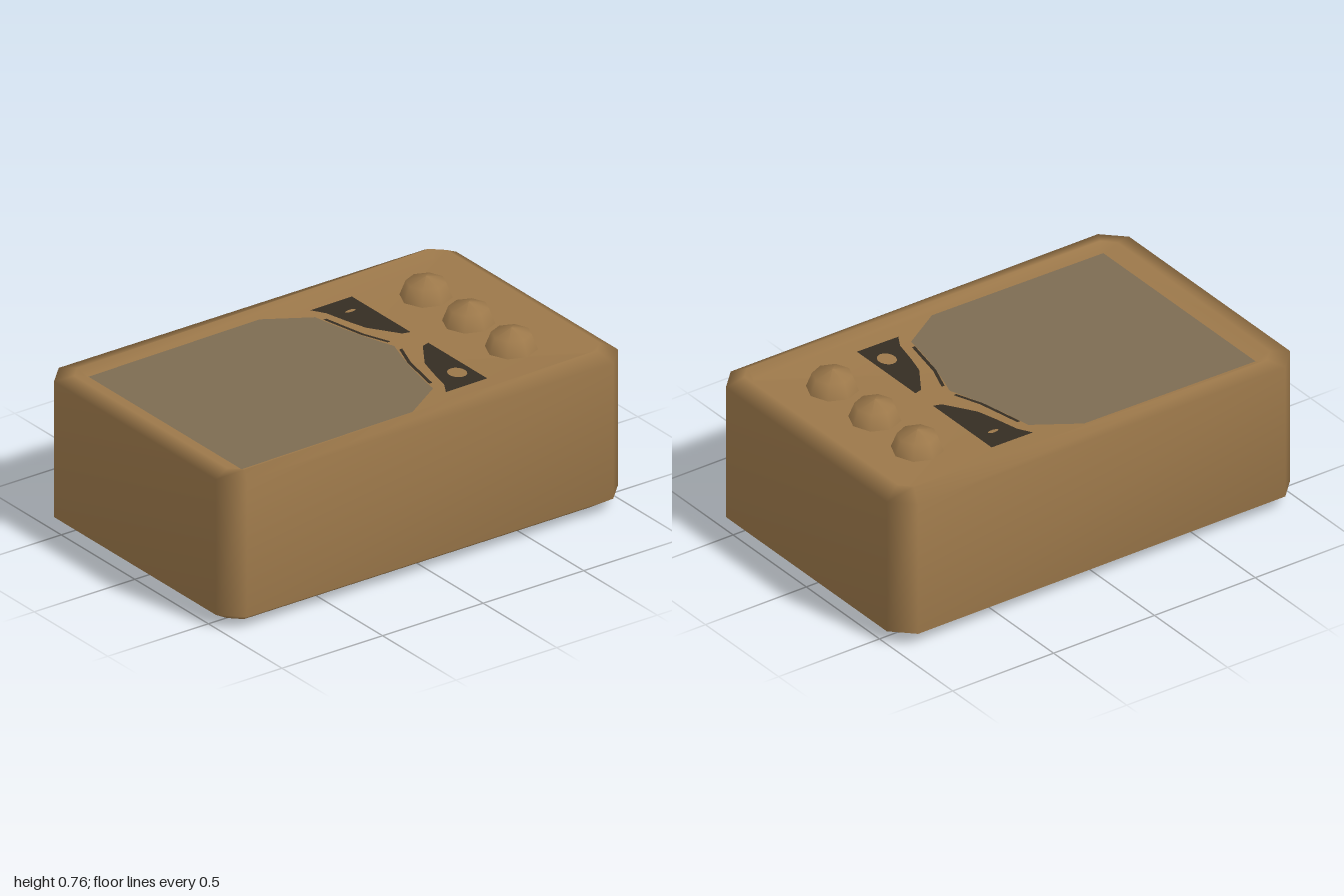
import * as THREE from 'three';

const mat = (name, color, side = THREE.FrontSide) => {
  const m = new THREE.MeshStandardMaterial({ color, side });
  m.name = name;
  return m;
};

// Height of the sloping recessed panel and of the rim around it
const panelY = z => 0.662 - 0.011 * z;
const rimY = z => 0.6925 - 0.0135 * z;

// Rectangle with cut corners, counterclockwise seen from above
function ring(w, d, c, y, zc = 0) {
  const pts = [[w, c - d], [w, d - c], [w - c, d], [c - w, d], [-w, d - c], [-w, c - d], [c - w, -d], [w - c, -d]];
  return pts.map(([x, s]) => [x, y(zc - s), zc - s]);
}

// Smooth chamfered box: rings joined from the underside up to the panel
function caseGeometry() {
  const rings = [
    ring(0.55, 0.91, 0.05, () => 0),
    ring(0.64, 1, 0.09, () => 0.06),
    ring(0.64, 1, 0.09, () => 0.665),
    ring(0.57, 0.925, 0.05, rimY, -0.005),
    ring(0.53, 0.875, 0.015, panelY, -0.015),
  ];
  const pos = [[0, 0, 0], ...rings.flat(), [0, panelY(0), 0]];
  const top = pos.length - 1;
  const index = [];
  for (let i = 0; i < 8; i++) index.push(0, 1 + (i + 1) % 8, 1 + i);
  for (let r = 0; r < rings.length - 1; r++) {
    for (let i = 0; i < 8; i++) {
      const a = 1 + r * 8 + i, b = 1 + r * 8 + (i + 1) % 8;
      index.push(a, b, b + 8, a, b + 8, a + 8);
    }
  }
  for (let i = 0; i < 8; i++) index.push(top - 8 + i, top - 8 + (i + 1) % 8, top);
  const g = new THREE.BufferGeometry();
  g.setAttribute('position', new THREE.Float32BufferAttribute(pos.flat(), 3));
  g.setIndex(index);
  g.addGroup(0, 24, 1);
  g.addGroup(24, index.length - 24, 0);
  g.computeVertexNormals();
  return g;
}

// Flat face laid on the panel from a shape drawn in (x, -z)
function decal(shape, lift) {
  const g = new THREE.ShapeGeometry(shape, 16).rotateX(-Math.PI / 2);
  const p = g.attributes.position;
  for (let i = 0; i < p.count; i++) p.setY(i, panelY(p.getZ(i)) + lift);
  g.computeVertexNormals();
  return g;
}

const polygon = pts => new THREE.Shape(pts.map(([x, y]) => new THREE.Vector2(x, y)));

export function createModel() {
  const model = new THREE.Group();
  const body = mat('tan body', 0x9c784a);
  const grey = mat('grey pad', 0x7d6c52, THREE.DoubleSide);
  const base = mat('underside grey', 0x776c62);
  const dark = mat('dark trim', 0x352d23, THREE.DoubleSide);
  const add = (name, geometry, material) => {
    const mesh = new THREE.Mesh(geometry, material);
    mesh.name = name;
    model.add(mesh);
    return mesh;
  };

  add('case', caseGeometry(), [body, base]);

  // Foot pad with an arched rear edge
  const pad = new THREE.Shape();
  pad.moveTo(-0.52, -0.85);
  pad.lineTo(0.52, -0.85);
  pad.lineTo(0.52, 0);
  pad.lineTo(0.4, 0.19);
  pad.quadraticCurveTo(0.2, 0.22, 0, 0.29);
  pad.quadraticCurveTo(-0.2, 0.22, -0.4, 0.19);
  pad.lineTo(-0.52, 0);
  add('footPad', decal(pad, 0.003), grey);

  // Dark wedges and thin trim lines behind the pad
  for (const s of [-1, 1]) {
    const wedge = polygon([[0.06, 0.415], [0.46, 0.415], [0.46, 0.21], [0.4, 0.245], [0.29, 0.27], [0.2, 0.295], [0.07, 0.38]]
      .map(([x, y]) => [s * x, y]));
    const hole = new THREE.Path();
    if (s > 0) hole.absellipse(0.345, 0.35, 0.045, 0.038, 0, Math.PI * 2, true);
    else hole.absellipse(-0.36, 0.335, 0.01, 0.025, 0, Math.PI * 2, true);
    wedge.holes.push(hole);
    add(s > 0 ? 'leftWedge' : 'rightWedge', decal(wedge, 0.004), dark);

    const line = polygon([[0.04, 0.3], [0.16, 0.255], [0.36, 0.215], [0.36, 0.2], [0.16, 0.24], [0.04, 0.285]]
      .map(([x, y]) => [s * x, y]));
    add(s > 0 ? 'leftTrimLine' : 'rightTrimLine', decal(line, 0.005), dark);
  }

  // Three eight-sided knobs
  const profile = [[0.11, 0], [0.083, 0.07], [0, 0.095]].map(([r, y]) => new THREE.Vector2(r, y));
  const knob = new THREE.LatheGeometry(profile, 8);
  for (const x of [-0.29, 0, 0.29]) {
    add('knob', knob, body).position.set(x, 0.664, -0.66);
  }
  return model;
}
